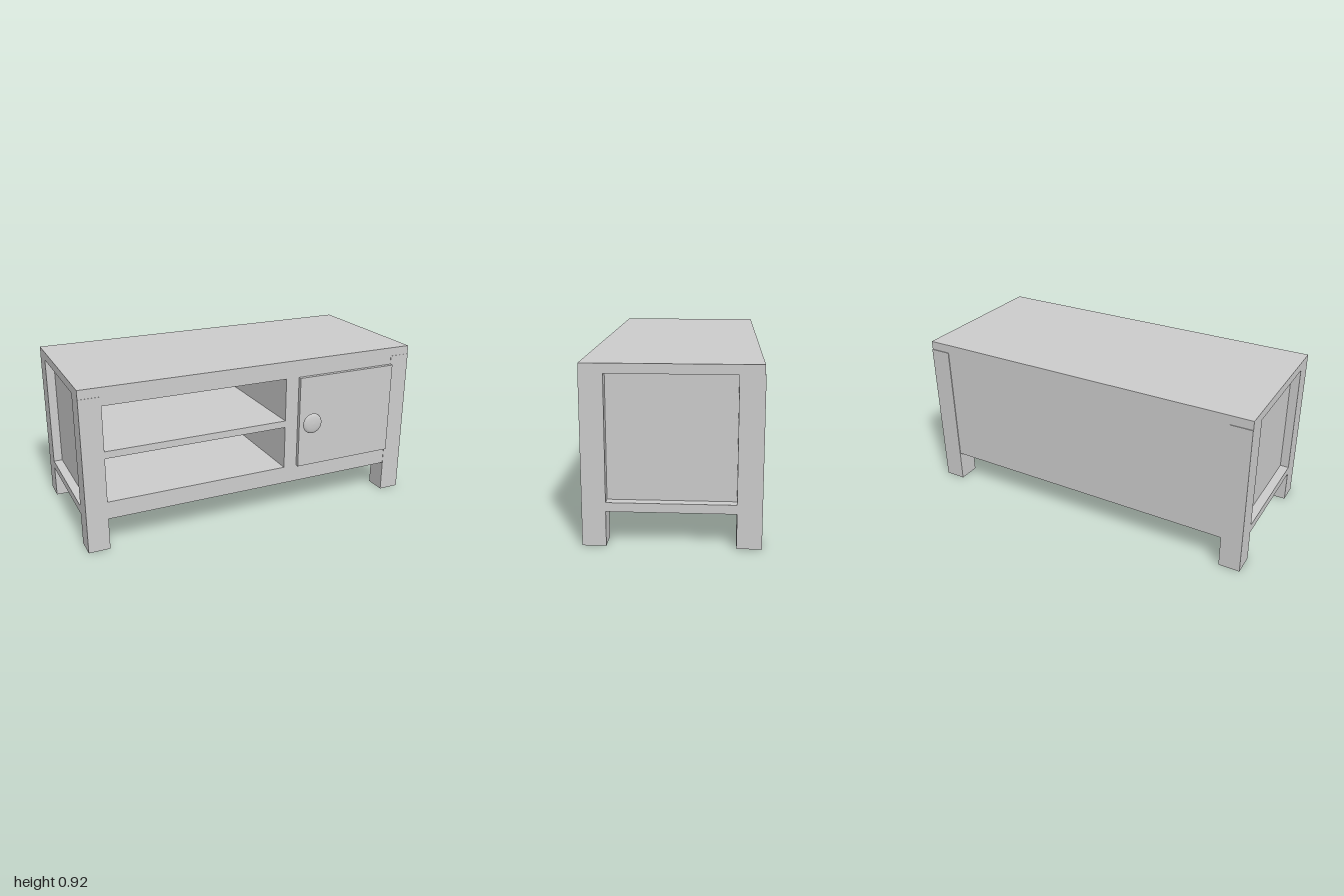
import * as THREE from 'three';

export function createModel() {
  const group = new THREE.Group();
  const material = new THREE.MeshStandardMaterial({ color: 0xcccccc });

  const add = (name, geometry) => {
    const mesh = new THREE.Mesh(geometry, material);
    mesh.name = name;
    group.add(mesh);
    return mesh;
  };
  // Box given by its extents on each axis
  const box = (name, [x0, x1], [y0, y1], [z0, z1]) =>
    add(name, new THREE.BoxGeometry(x1 - x0, y1 - y0, z1 - z0))
      .position.set((x0 + x1) / 2, (y0 + y1) / 2, (z0 + z1) / 2);
  const trace = (path, x0, x1, y0, y1) =>
    path.moveTo(x0, y0).lineTo(x1, y0).lineTo(x1, y1).lineTo(x0, y1).closePath();

  const front = 0.408, back = -0.476;

  // Carcass: side panels, floor, divider and shelf around two open cubbies
  const outline = new THREE.Shape();
  trace(outline, -0.95, 0.95, 0.18, 0.87);
  for (const [y0, y1] of [[0.28, 0.53], [0.57, 0.82]]) {
    const cubby = new THREE.Path();
    trace(cubby, -0.88, 0.18, y0, y1);
    outline.holes.push(cubby);
  }
  const backThickness = 0.03;
  const carcass = new THREE.ExtrudeGeometry(outline, {
    depth: front - back - backThickness, bevelEnabled: false,
  });
  add('carcass', carcass).position.z = back + backThickness;
  box('backPanel', [-0.95, 0.95], [0.18, 0.87], [back, back + backThickness]);

  // Top board
  box('topBoard', [-1, 1], [0.87, 0.92], [back, front]);

  // Corner posts and lower side rails
  for (const side of [-1, 1]) {
    const span = (a, b) => (side > 0 ? [a, b] : [-b, -a]);
    const label = side > 0 ? 'left' : 'right';
    box(label + 'FrontLeg', span(0.88, 1), [0, 0.87], [0.29, 0.41]);
    box(label + 'BackLeg', span(0.88, 1), [0, 0.87], [-0.48, -0.355]);
    box(label + 'SideRail', span(0.95, 1), [0.18, 0.227], [-0.355, 0.29]);
  }

  // Door, standing slightly proud of the front
  box('door', [0.26, 0.88], [0.28, 0.82], [front, 0.43]);

  // Round knob, turned about the z axis
  const profile = [
    [0.026, -0.002], [0.021, 0.004], [0.022, 0.011], [0.03, 0.018], [0.045, 0.023],
    [0.055, 0.028], [0.06, 0.034], [0.056, 0.041], [0.043, 0.046], [0.022, 0.049], [0, 0.05],
  ].map(([r, h]) => new THREE.Vector2(r, h));
  const knob = add('doorKnob', new THREE.LatheGeometry(profile, 32));
  knob.rotation.x = Math.PI / 2;
  knob.position.set(0.325, 0.552, 0.43);

  return group;
}
